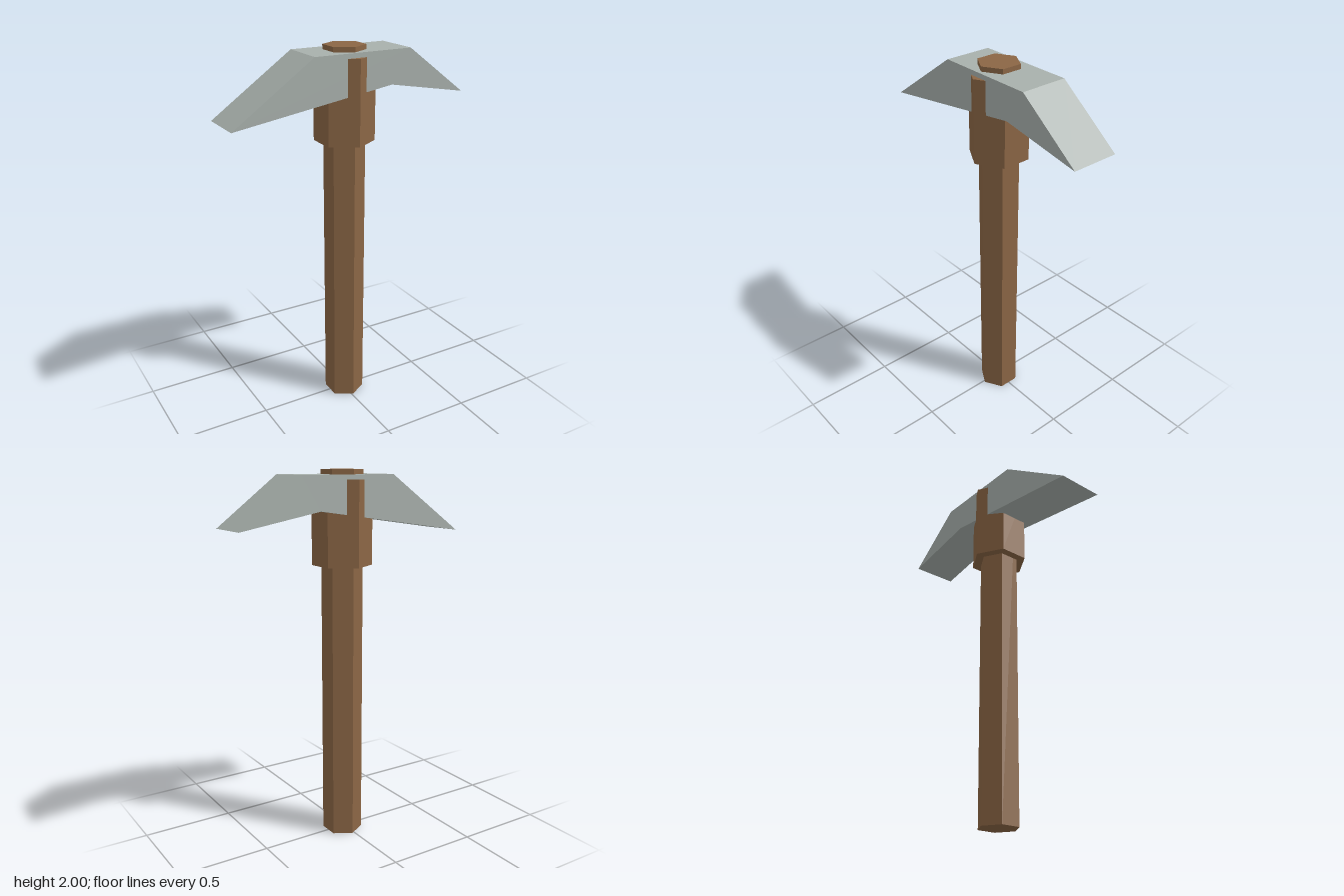
import * as THREE from 'three';

export function createModel() {
  const model = new THREE.Group();
  model.name = 'pickaxe';

  const wood = new THREE.MeshStandardMaterial({ color: 0x8b6645 });
  wood.name = 'brown wood';
  wood.flatShading = true;
  const stone = new THREE.MeshStandardMaterial({ color: 0xa8b0ac });
  stone.name = 'grey stone';
  stone.flatShading = true;

  // Upright six-sided post, with corners pointing front and back
  const hexPost = (name, radius, bottom, top) => {
    const post = new THREE.Mesh(
      new THREE.CylinderGeometry(radius, radius, top - bottom, 6), wood);
    post.name = name;
    post.position.set(0.011, (bottom + top) / 2, 0);
    model.add(post);
  };
  hexPost('handle', 0.109, 0, 2);
  hexPost('collar', 0.158, 1.51, 1.95);

  // Bent head: side profile extruded through the depth
  const depth = 0.254;
  const profile = new THREE.Shape([
    [-0.66, 1.67], [0.215, 1.8], [0.66, 1.72], [0.322, 1.975], [-0.222, 1.975],
  ].map(([x, y]) => new THREE.Vector2(x, y)));
  const headGeometry = new THREE.ExtrudeGeometry(profile, { depth, bevelEnabled: false });
  headGeometry.translate(0, 0, -depth / 2);
  const head = new THREE.Mesh(headGeometry, stone);
  head.name = 'head';
  model.add(head);

  return model;
}
